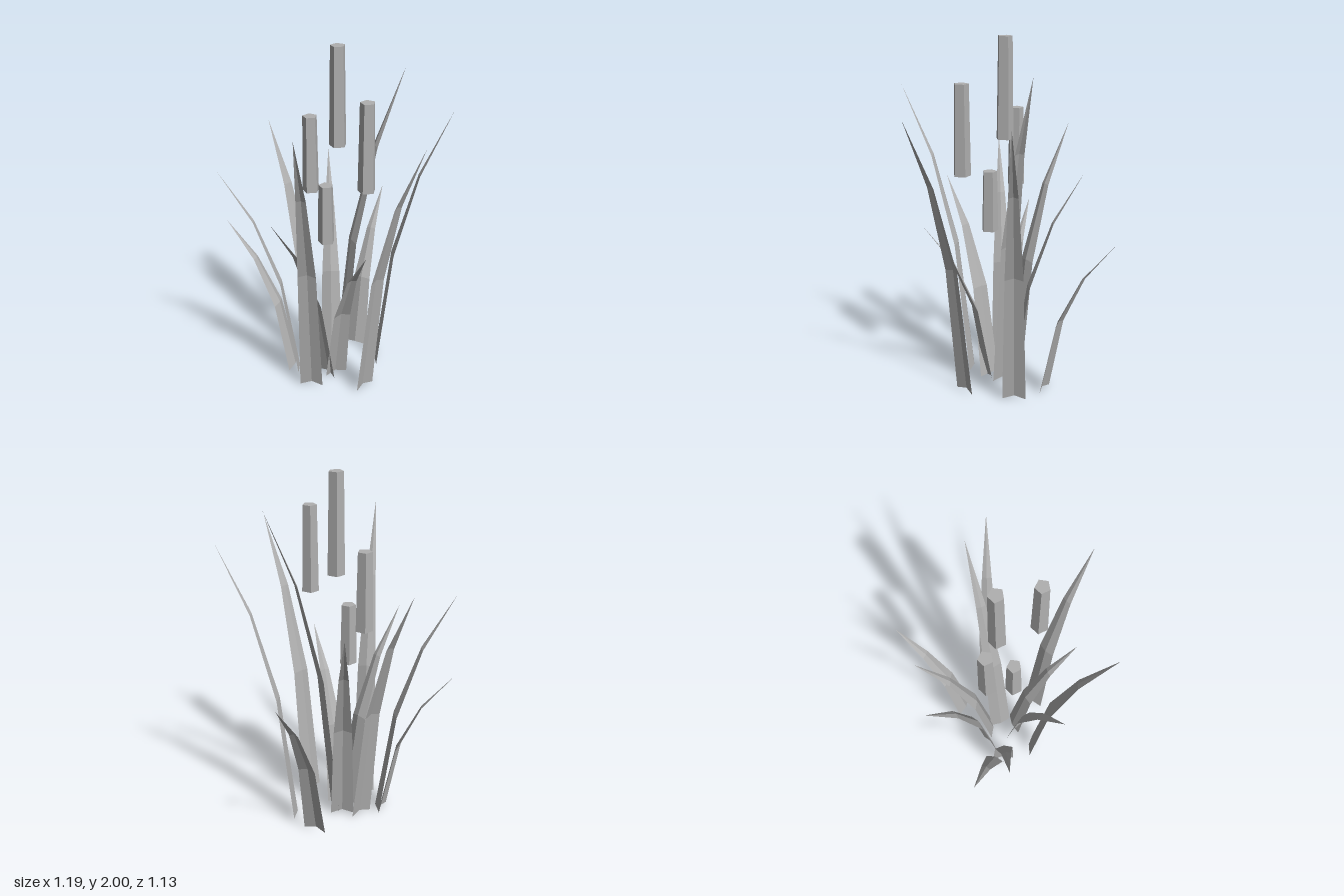
import * as THREE from 'three';

const grey = new THREE.MeshStandardMaterial({ color: 0xb0b0b0, flatShading: true, side: THREE.DoubleSide });
grey.name = 'plain grey';

// Leaf sections: fraction of height, fraction of outward lean, half width
const SECTIONS = [[0, 0, 0.066], [0.46, 0.22, 0.051], [0.765, 0.56, 0.027], [1, 1, 0]];

// A folded blade: each section is left edge, raised midrib, right edge
function leafGeometry(baseX, baseZ, tipX, tipY, tipZ) {
  const dx = tipX - baseX, dz = tipZ - baseZ;
  const lean = Math.hypot(dx, dz);
  const ux = dx / lean, uz = dz / lean;
  const points = [], index = [];
  SECTIONS.forEach(([up, out, half], row) => {
    const x = baseX + dx * out, z = baseZ + dz * out, y = tipY * up;
    const fold = half * 0.22; // midrib sits inward and slightly higher
    points.push(x - uz * half, y, z + ux * half);
    points.push(x - ux * fold, y + fold, z - uz * fold);
    points.push(x + uz * half, y, z - ux * half);
    if (row === 0) return;
    for (let i = 0; i < 2; i++) {
      const a = (row - 1) * 3 + i, b = a + 1, c = a + 3, d = a + 4;
      index.push(a, b, c);
      if (row < SECTIONS.length - 1) index.push(b, d, c);
    }
  });
  const indexed = new THREE.BufferGeometry();
  indexed.setAttribute('position', new THREE.Float32BufferAttribute(points, 3));
  indexed.setIndex(index);
  const geometry = indexed.toNonIndexed();
  geometry.computeVertexNormals();
  return geometry;
}

export function createModel() {
  const model = new THREE.Group();
  model.name = 'reedClump';

  const add = (name, geometry) => {
    const mesh = new THREE.Mesh(geometry, grey);
    mesh.name = name;
    model.add(mesh);
    return mesh;
  };

  // Leaves: base x, base z, tip x, tip y, tip z
  [
    [-0.236, -0.197, -0.504, 0.93, -0.48],
    [-0.22, -0.168, -0.6, 1.32, -0.313],
    [-0.098, -0.195, -0.184, 1.46, -0.57],
    [0.0, -0.143, 0.158, 1.25, -0.49],
    [0.216, -0.234, 0.526, 0.935, -0.474],
    [0.012, -0.07, 0.405, 1.84, -0.042],
    [0.248, -0.025, 0.594, 1.625, 0.163],
    [0.048, 0.194, 0.168, 1.635, 0.565],
    [-0.043, 0.002, -0.062, 0.995, 0.39],
    [-0.224, 0.034, -0.446, 1.71, 0.357],
    [-0.092, -0.025, -0.469, 1.15, 0.083],
  ].forEach((leaf, i) => add('leaf' + (i + 1), leafGeometry(...leaf)));

  // Floating five-sided seed heads: x, z, bottom, top
  [
    [0.009, -0.07, 1.45, 2.0],
    [0.043, 0.195, 1.28, 1.77],
    [-0.1, -0.19, 1.155, 1.595],
    [-0.088, -0.025, 0.905, 1.25],
  ].forEach(([x, z, bottom, top], i) => {
    const geometry = new THREE.CylinderGeometry(0.041, 0.049, top - bottom, 5, 1, false, Math.PI / 2);
    add('seedHead' + (i + 1), geometry).position.set(x, (bottom + top) / 2, z);
  });

  return model;
}
